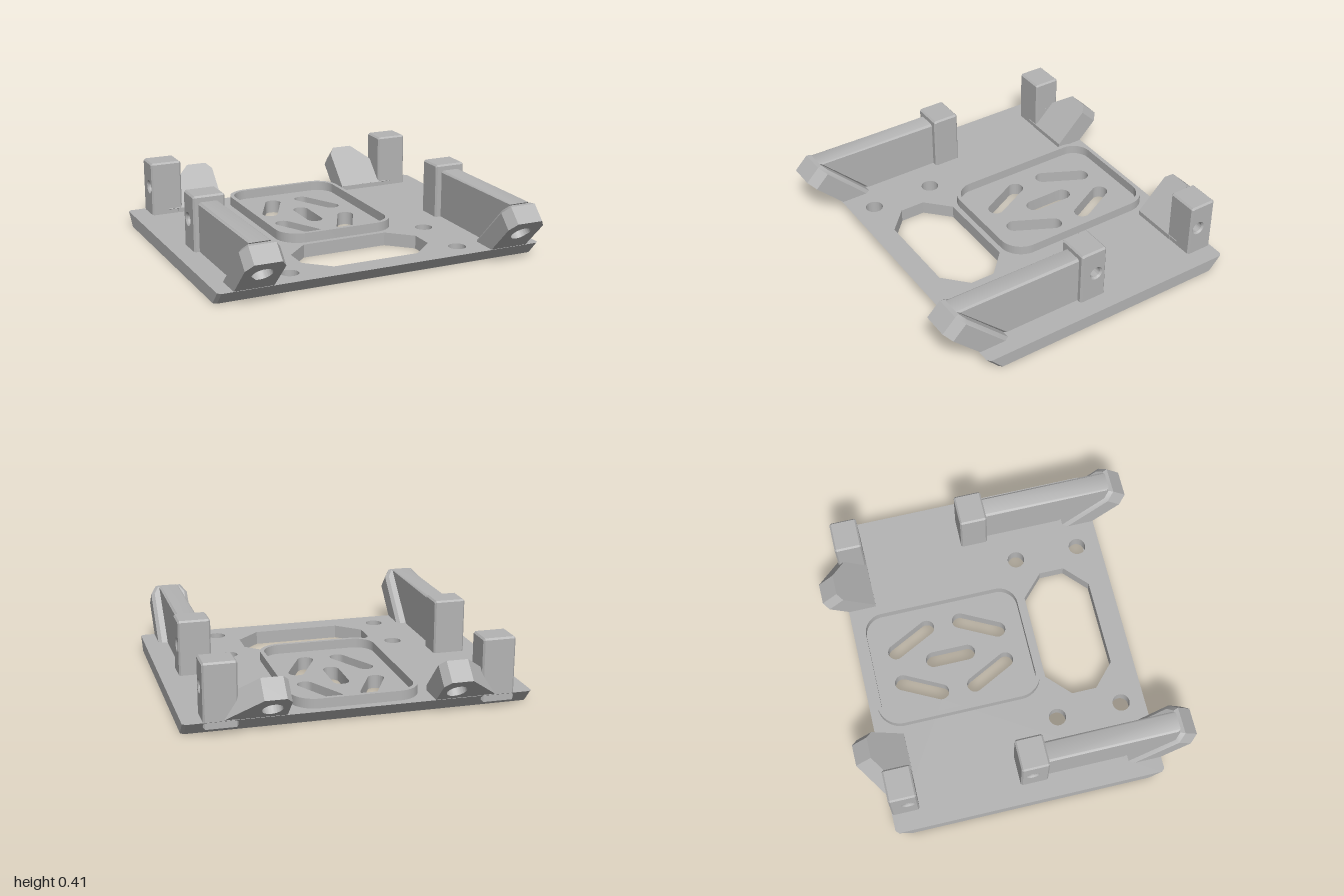
import * as THREE from 'three';
import { toCreasedNormals } from 'three/addons/utils/BufferGeometryUtils.js';

const grey = new THREE.MeshStandardMaterial({ color: 0xb4b4b4 });
grey.name = 'plain grey';

const poly = (pts) => new THREE.Shape(pts.map(([x, y]) => new THREE.Vector2(x, y)));
const hole = (x, y, r) => new THREE.Path().absarc(x, y, r, 0, Math.PI * 2, true);

function add(parent, name, geometry) {
  const mesh = new THREE.Mesh(toCreasedNormals(geometry, 0.5), grey);
  mesh.name = name;
  parent.add(mesh);
  return mesh;
}

// Extrusion from a to b along local z, with edges chamfered by c inside the outline
function extrude(shape, a, b, c = 0) {
  const g = new THREE.ExtrudeGeometry(shape, {
    depth: b - a - 2 * c, curveSegments: 24, bevelEnabled: c > 0,
    bevelSize: c, bevelThickness: c, bevelOffset: -c, bevelSegments: 1,
  });
  return g.translate(0, 0, a + c);
}

function box(x0, x1, y0, y1, z0, z1) {
  return new THREE.BoxGeometry(x1 - x0, y1 - y0, z1 - z0)
    .translate((x0 + x1) / 2, (y0 + y1) / 2, (z0 + z1) / 2);
}

// Slot with round ends between two points, in plan (x, z)
function slot(x0, z0, x1, z1, r) {
  const a = Math.atan2(z0 - z1, x1 - x0);
  const p = new THREE.Path();
  p.absarc(x1, -z1, r, a + Math.PI / 2, a - Math.PI / 2, true);
  p.absarc(x0, -z0, r, a - Math.PI / 2, a - Math.PI * 1.5, true);
  p.closePath();
  return p;
}

function roundedRect(Type, w, z0, z1, r) {
  const s = new Type(), H = Math.PI / 2, t = -z0 - r, b = -z1 + r, x = w - r;
  s.absarc(x, t, r, 0, H, false);
  s.absarc(-x, t, r, H, 2 * H, false);
  s.absarc(-x, b, r, 2 * H, 3 * H, false);
  s.absarc(x, b, r, 3 * H, 4 * H, false);
  s.closePath();
  return s;
}

// Base plate with cut-outs; front and back edges slope inwards to the bottom
function plate(model) {
  const k = 0.018, F = -0.785, B = 0.845;
  const s = poly([[-1 + k, F], [1 - k, F], [1, F + k], [1, B - k],
    [1 - k, B], [-1 + k, B], [-1, B - k], [-1, F + k]]);
  s.holes.push(poly([[-0.405, -0.37], [-0.265, -0.237], [0.265, -0.237], [0.405, -0.37],
    [0.405, -0.52], [0.265, -0.65], [-0.265, -0.65], [-0.405, -0.52]]));
  s.holes.push(slot(0, -0.4, 0, -0.19, 0.048));
  for (const m of [-1, 1]) {
    s.holes.push(slot(m * 0.102, -0.615, m * 0.212, -0.4, 0.048));
    s.holes.push(slot(m * 0.212, -0.19, m * 0.102, 0.025, 0.048));
    for (const z of [0.246, 0.643]) s.holes.push(hole(m * 0.53, -z, 0.052));
  }
  const g = extrude(s, 0, 0.08).rotateX(-Math.PI / 2);
  const p = g.attributes.position;
  for (let i = 0; i < p.count; i++) {
    const z = p.getZ(i);
    if (p.getY(i) < 0.01 && Math.abs(z) > 0.7) p.setZ(i, z - Math.sign(z) * 0.073);
  }
  add(model, 'basePlate', g);

  const rim = roundedRect(THREE.Shape, 0.37, -0.795, 0.205, 0.14);
  rim.holes.push(roundedRect(THREE.Path, 0.345, -0.77, 0.18, 0.115));
  add(model, 'raisedRim', extrude(rim, 0.075, 0.137).rotateX(-Math.PI / 2));
}

// Upright block with a blind hole in its outer face
function post(side, name, z0, z1, holeZ) {
  const x0 = 0.695, x1 = 0.888, c = 0.01, r = 0.032, top = 0.412;
  const s = poly([[-z1, 0.04], [-z0, 0.04], [-z0, top - c], [-z0 - c, top],
    [-z1 + c, top], [-z1, top - c]]);
  s.holes.push(hole(-holeZ, 0.253, r));
  const group = new THREE.Group();
  group.name = name;
  add(group, 'block', extrude(s, x0, x1, c).rotateY(Math.PI / 2));
  const len = 0.09;
  add(group, 'holeBottom', new THREE.CylinderGeometry(r + c, r + c, len, 48)
    .rotateZ(Math.PI / 2).translate(x0 + len / 2, 0.253, holeZ));
  side.add(group);
}

// Slide low vertices up the 45 degree slope so the foot stays inside the plate
function trimFoot(g, yMin) {
  const p = g.attributes.position;
  for (let i = 0; i < p.count; i++) {
    const d = yMin - p.getY(i);
    if (d > 0) p.setXYZ(i, p.getX(i), yMin, p.getZ(i) + d);
  }
  return g;
}

// Slanted front lug with a blind hole, braced by a long rib
function frontMount(side) {
  const xc = 0.795, h = 0.116, end = 0.901, back = 0.361, face = 0.495;
  const outline = [[xc - h, 0.4], [xc + h, 0.4], [xc + h, end - 0.06],
    [xc + h - 0.037, end], [xc - h + 0.037, end], [xc - h, end - 0.06]];
  const drilled = poly(outline);
  drilled.holes.push(hole(xc, 0.775, 0.06));
  const tilt = (g) => trimFoot(g.rotateX(Math.PI / 4), 0.03);
  add(side, 'frontLugFace', tilt(extrude(drilled, back + 0.035, face)));
  add(side, 'frontLugBack', tilt(extrude(poly(outline), back, back + 0.06, 0.02)));

  const rib = poly([[-0.885, 0.375], [-0.57, 0.06], [-0.08, 0.06], [-0.08, 0.375]]);
  add(side, 'rib', extrude(rib, 0.733, 0.857, 0.012).rotateY(Math.PI / 2));
}

// Slanted rear lug with a gusset running out to the rear post
function rearMount(side) {
  const end = 0.856, foot = 0.554;
  const outline = [[0.425, foot], [0.78, foot], [0.78, 0.65], [0.585, end],
    [0.46, end], [0.425, end - 0.045]];
  const drilled = poly(outline);
  drilled.holes.push(hole(0.522, 0.74, 0.058));
  add(side, 'rearLugFace', extrude(drilled, -0.537, -0.437).rotateX(-Math.PI / 4));
  add(side, 'rearLugBack', extrude(poly(outline), -0.437, -0.401).rotateX(-Math.PI / 4));
  add(side, 'rearLugFoot', box(0.425, 0.72, 0.04, 0.108, -0.8, -0.675));
}

export function createModel() {
  const model = new THREE.Group();
  model.name = 'mountingPlate';
  plate(model);
  for (const m of [1, -1]) {
    const side = new THREE.Group();
    side.name = m > 0 ? 'leftMounts' : 'rightMounts';
    post(side, 'frontPost', -0.067, 0.1, 0);
    post(side, 'rearPost', -0.843, -0.678, -0.736);
    frontMount(side);
    rearMount(side);
    side.scale.x = m;
    model.add(side);
  }
  return model;
}
